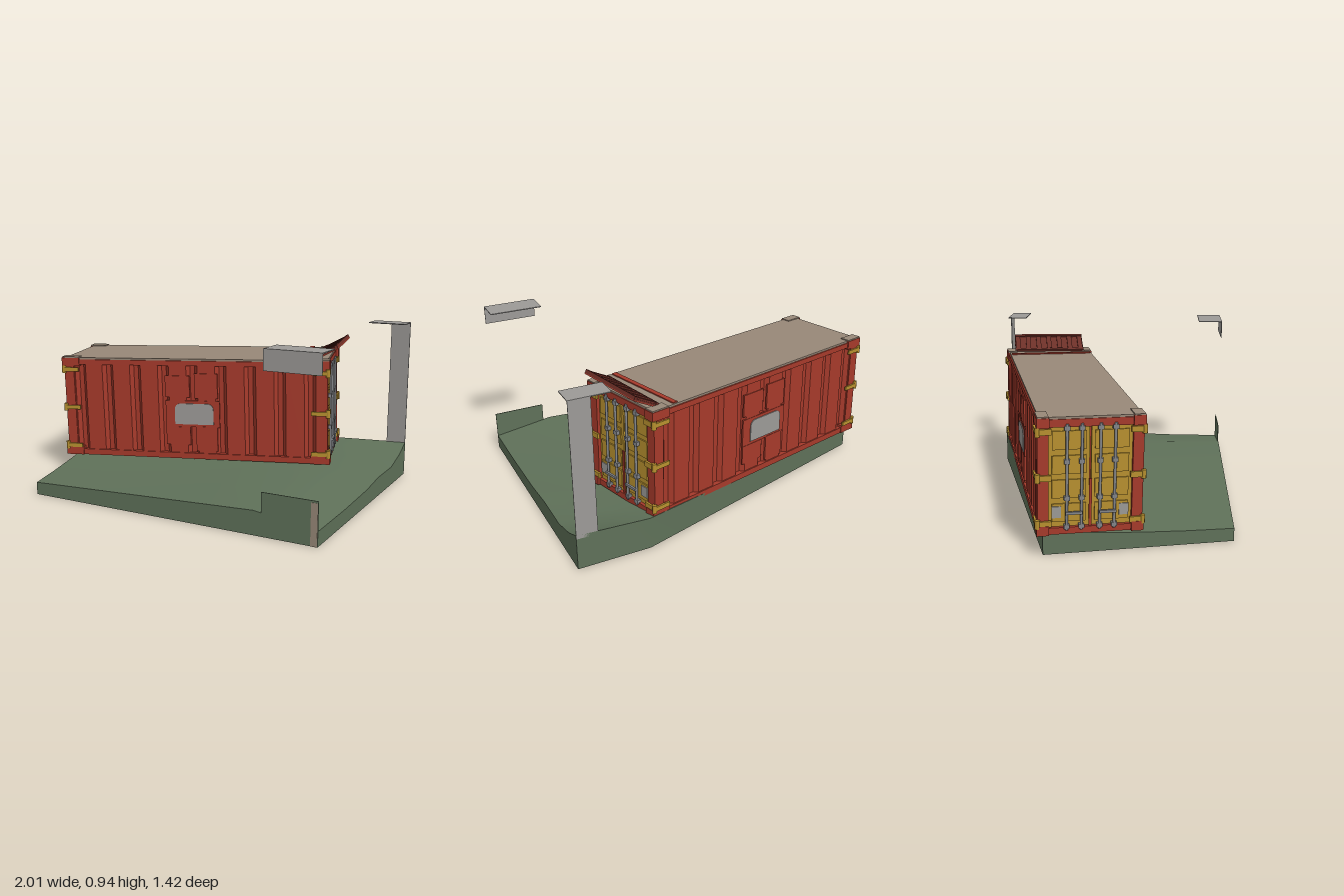
import * as THREE from 'three';

const mat = (name, color, side = THREE.FrontSide) => {
  const m = new THREE.MeshStandardMaterial({ color, side });
  m.name = name;
  return m;
};

export function createModel() {
  const red = mat('container red', 0xa63a2b);
  const maroon = mat('dark maroon', 0x6b2d25);
  const yellow = mat('door yellow', 0xb8912f);
  const beige = mat('roof beige', 0x988878);
  const grey = mat('plate grey', 0x9c9a97, THREE.DoubleSide);
  const steel = mat('rod steel', 0x85878b);
  const green = mat('ground green', 0x5f7159, THREE.DoubleSide);

  const model = new THREE.Group();
  const add = (parent, name, geo, material, x = 0, y = 0, z = 0) => {
    const m = new THREE.Mesh(geo, material);
    m.name = name;
    m.position.set(x, y, z);
    parent.add(m);
    return m;
  };
  const box = (parent, name, material, w, h, d, x, y, z) =>
    add(parent, name, new THREE.BoxGeometry(w, h, d), material, x, y, z);
  const group = (parent, name) => {
    const g = new THREE.Group();
    g.name = name;
    parent.add(g);
    return g;
  };

  // Surface through rows of points
  const patch = (rows) => {
    const n = rows[0].length, index = [];
    for (let r = 0; r < rows.length - 1; r++)
      for (let c = 0; c < n - 1; c++) {
        const a = r * n + c, b = a + n;
        index.push(a, b, b + 1, a, b + 1, a + 1);
      }
    const geo = new THREE.BufferGeometry().setFromPoints(rows.flat());
    geo.setIndex(index);
    geo.computeVertexNormals();
    return geo;
  };

  // Sloping ground block, blended from its back edge to its front edge
  const ground = group(model, 'ground');
  const us = [0, 0.2, 0.4, 0.6, 0.8, 0.9, 1];
  const vs = [0, 0.08, 0.19, 0.36, 0.5, 0.75, 1];
  const leftH = [0.11, 0.11, 0.105, 0.095, 0.085, 0.075, 0.07];
  const midH = [0.18, 0.165, 0.15, 0.14, 0.135, 0.13, 0.13];
  const rightH = [0.2, 0.15, 0.11, 0.11, 0.09, 0.08, 0.08];
  const lerp = THREE.MathUtils.lerp;
  const top = vs.map((v, i) => us.map((u) => {
    const t = Math.min(u / 0.8, 1), s = Math.max((u - 0.8) / 0.2, 0);
    const bx = lerp(lerp(-0.95, 0.6, t), 1, s), bz = lerp(-0.26, -0.71, t);
    const h = lerp(lerp(leftH[i], midH[i], t), rightH[i], s);
    return new THREE.Vector3(lerp(bx, lerp(-0.71, 1, u), v), h, lerp(bz, 0.71, v));
  }));
  const flat = (row) => row.map((p) => new THREE.Vector3(p.x, 0, p.z));
  add(ground, 'groundTop', patch(top), green);
  add(ground, 'groundBottom', patch([...top].reverse().map(flat)), green);
  const last = us.length - 1;
  const edges = [
    top[vs.length - 1],
    top.map((r) => r[last]).reverse(),
    [...top[0]].reverse(),
    top.map((r) => r[0]),
  ];
  for (const e of edges) add(ground, 'groundSide', patch([e, flat(e)]), green);
  box(ground, 'frontUpstand', green, 0.3, 0.23, 0.004, 0.85, 0.115, 0.708);
  box(ground, 'upstandEdge', beige, 0.035, 0.22, 0.002, 0.98, 0.11, 0.711);

  // Thin bent sheets at the two right-hand corners
  const backPost = group(model, 'backPost');
  box(backPost, 'postSheet', grey, 0.115, 0.755, 0.004, 0.942, 0.555, -0.708);
  box(backPost, 'postTop', grey, 0.22, 0.005, 0.12, 0.89, 0.934, -0.65);
  const hanging = group(model, 'frontBracket');
  box(hanging, 'bracketTop', grey, 0.3, 0.005, 0.15, 0.85, 0.934, 0.635);
  box(hanging, 'bracketFace', grey, 0.3, 0.105, 0.004, 0.85, 0.882, 0.708);

  // Container, turned and slightly tilted
  const container = group(model, 'container');
  container.position.set(-0.14, 0.132, -0.23);
  container.rotation.set(0.015, 0.26, 0.025, 'YZX');
  const H = 0.6;
  box(container, 'core', red, 1.53, 0.57, 0.46, 0, 0.295, 0);
  box(container, 'roof', beige, 1.59, 0.012, 0.515, 0, 0.6, 0);
  box(container, 'roofStripe', red, 0.028, 0.012, 0.5, 0.65, 0.606, 0);

  // Corrugated wall outline seen from above, outward = +y
  const wall = new THREE.Shape();
  wall.moveTo(-0.76, 0.22);
  wall.lineTo(0.76, 0.22);
  wall.lineTo(0.76, 0.258);
  for (let i = 4; i >= -4; i--) {
    const c = i * 0.175;
    wall.lineTo(c + 0.034, 0.258);
    wall.lineTo(c + 0.014, 0.236);
    wall.lineTo(c - 0.014, 0.236);
    wall.lineTo(c - 0.034, 0.258);
  }
  wall.lineTo(-0.76, 0.258);
  wall.closePath();
  const wallGeo = new THREE.ExtrudeGeometry(wall, { depth: 0.54, bevelEnabled: false });
  wallGeo.rotateX(Math.PI / 2);

  // Rounded plate for the middle of each long side
  const plate = new THREE.Shape();
  const pw = 0.118, ph = 0.063, pr = 0.035;
  plate.absarc(pw - pr, ph - pr, pr, 0, Math.PI / 2);
  plate.absarc(-pw + pr, ph - pr, pr, Math.PI / 2, Math.PI);
  plate.lineTo(-pw, -ph);
  plate.lineTo(pw, -ph);
  plate.closePath();
  const plateGeo = new THREE.ExtrudeGeometry(plate, { depth: 0.006, bevelEnabled: false });

  for (const turn of [0, Math.PI]) {
    const side = group(container, 'longSide');
    side.rotation.y = turn;
    add(side, 'corrugatedWall', wallGeo, red, 0, 0.57, 0);
    box(side, 'topRail', red, 1.56, 0.03, 0.03, 0, 0.58, 0.25);
    box(side, 'bottomRail', red, 1.56, 0.035, 0.03, 0, 0.018, 0.25);
    // Flat patch panels above and below the plate
    box(side, 'patchPanel', red, 0.15, 0.13, 0.01, -0.09, 0.44, 0.257);
    box(side, 'patchPanel', red, 0.14, 0.15, 0.01, 0.085, 0.445, 0.257);
    box(side, 'patchPanel', red, 0.15, 0.11, 0.01, -0.09, 0.14, 0.257);
    box(side, 'patchPanel', red, 0.13, 0.15, 0.01, 0.085, 0.125, 0.257);
    box(side, 'plateBacking', red, 0.33, 0.16, 0.01, 0, 0.275, 0.255);
    add(side, 'sidePlate', plateGeo, grey, 0.01, 0.275, 0.259);
  }

  for (const turn of [0, Math.PI]) {
    const end = group(container, 'doorEnd');
    end.rotation.y = turn;
    box(end, 'topBeam', red, 0.05, 0.04, 0.47, 0.775, 0.575, 0);
    box(end, 'bottomBeam', red, 0.05, 0.035, 0.47, 0.775, 0.018, 0);
    box(end, 'doorSeam', red, 0.006, 0.25, 0.014, 0.79, 0.16, 0);
    for (const s of [-1, 1]) {
      box(end, 'cornerPost', red, 0.06, H - 0.02, 0.055, 0.77, 0.3, s * 0.2375);
      for (const y of [0.025, 0.58])
        box(end, 'cornerCasting', red, 0.11, 0.05, 0.062, 0.758, y, s * 0.239);
      box(end, 'castingCap', beige, 0.105, 0.008, 0.056, 0.758, 0.608, s * 0.239);
      // Door leaf with raised horizontal bands
      box(end, 'doorLeaf', yellow, 0.02, 0.52, 0.205, 0.772, 0.295, s * 0.107);
      for (let i = 0; i < 4; i++)
        box(end, 'doorBand', yellow, 0.012, 0.095, 0.17, 0.783, 0.11 + i * 0.125, s * 0.107);
      // Locking rods with guides and handle
      for (const z of [0.046, 0.12]) {
        add(end, 'lockRod', new THREE.CylinderGeometry(0.0075, 0.0075, 0.55, 8), steel, 0.803, 0.297, s * z);
        for (const y of [0.04, 0.19, 0.38, 0.55])
          box(end, 'rodGuide', steel, 0.022, 0.022, 0.028, 0.798, y, s * z);
      }
      box(end, 'doorHandle', steel, 0.012, 0.014, 0.085, 0.813, 0.115, s * 0.085);
      box(end, 'doorPlate', grey, 0.006, 0.06, 0.048, 0.791, 0.115, s * 0.17);
      // Hinges wrapping round the corner
      for (const y of [0.06, 0.3, 0.535]) {
        box(end, 'hingeDoorArm', yellow, 0.014, 0.03, 0.075, 0.804, y, s * 0.235);
        box(end, 'hingeSideArm', yellow, 0.1, 0.024, 0.01, 0.757, y, s * 0.272);
        add(end, 'hingePin', new THREE.CylinderGeometry(0.013, 0.013, 0.046, 8), yellow, 0.803, y, s * 0.266);
      }
    }
  }

  // Bent-up roof flap above the right-hand doors
  const flap = group(container, 'roofFlap');
  flap.position.set(0.725, 0.602, 0);
  flap.rotation.set(0, -0.06, 0.48, 'YZX');
  box(flap, 'flapUnderside', red, 0.16, 0.006, 0.44, 0.08, -0.003, 0);
  box(flap, 'flapTop', maroon, 0.16, 0.008, 0.44, 0.08, 0.004, 0);
  for (const x of [0.008, 0.152])
    box(flap, 'flapEdge', maroon, 0.016, 0.014, 0.44, x, 0.012, 0);
  for (let i = -3; i <= 3; i++)
    box(flap, 'flapRib', maroon, 0.12, 0.012, 0.03, 0.08, 0.011, i * 0.067);

  return model;
}
